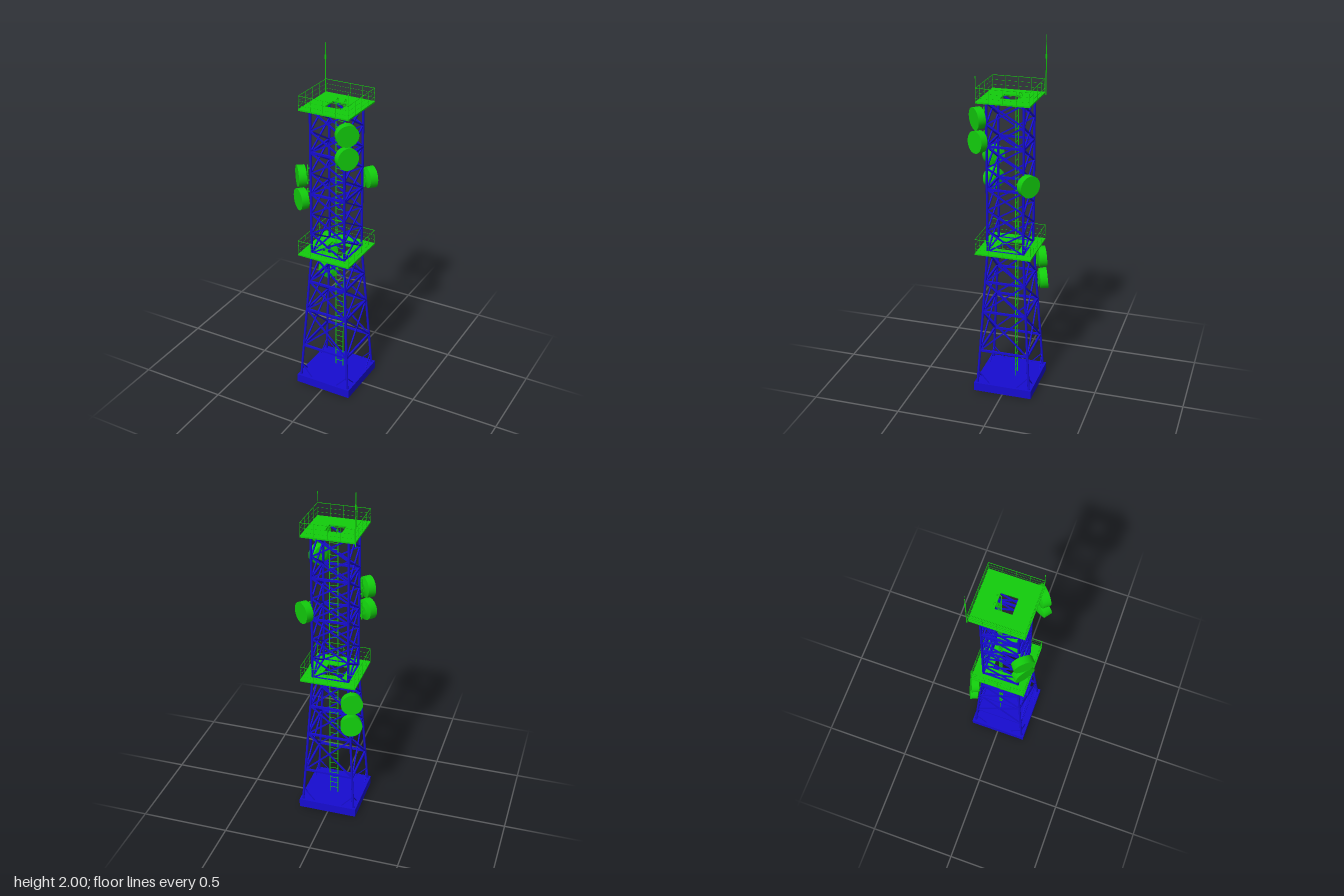
import * as THREE from 'three';
import { mergeGeometries } from 'three/addons/utils/BufferGeometryUtils.js';

const blue = new THREE.MeshStandardMaterial({ color: 0x160cd0 });
const green = new THREE.MeshStandardMaterial({ color: 0x12cc0c });
const V = (x, y, z) => new THREE.Vector3(x, y, z);

// Square beam between two points
function beam(a, b, w) {
  const o = new THREE.Object3D();
  o.position.copy(a).add(b).multiplyScalar(0.5);
  o.lookAt(b);
  o.updateMatrix();
  return new THREE.BoxGeometry(w, w, a.distanceTo(b)).applyMatrix4(o.matrix);
}

// Round bar between two points
function rod(a, b, r, sides = 8) {
  const m = new THREE.Matrix4().compose(
    a.clone().add(b).multiplyScalar(0.5),
    new THREE.Quaternion().setFromUnitVectors(V(0, 1, 0), b.clone().sub(a).normalize()),
    V(1, 1, 1));
  return new THREE.CylinderGeometry(r, r, a.distanceTo(b), sides).applyMatrix4(m);
}

function part(parent, name, geometries, material) {
  const mesh = new THREE.Mesh(mergeGeometries(geometries), material);
  mesh.name = name;
  parent.add(mesh);
  return mesh;
}

// Half width of the tower at height y: tapered below, straight above
const BASE = 0.05, WAIST = 0.85, TOP = 1.69;
const halfWidth = y => y >= WAIST ? 0.101 : 0.151 - 0.05 * (y - BASE) / (WAIST - BASE);

// Run a function once per side; p(u, y) gives the point at u (-1..1) along that side
function eachSide(fn) {
  for (let i = 0; i < 4; i++) {
    const turn = i * Math.PI / 2;
    const at = (x, y, z) => V(x, y, z).applyAxisAngle(V(0, 1, 0), turn);
    fn((u, y) => at(u * halfWidth(y), y, halfWidth(y)), at);
  }
}

// Deck with a square hatch and a wire railing around the edge
function platform(name, y, half, hatch, railHeight) {
  const g = new THREE.Group();
  g.name = name;
  const square = (s, T) => new T().moveTo(-s, -s).lineTo(s, -s).lineTo(s, s).lineTo(-s, s).closePath();
  const shape = square(half, THREE.Shape);
  shape.holes.push(square(hatch, THREE.Path));
  part(g, 'deck', [new THREE.ExtrudeGeometry(shape, { depth: 0.008, bevelEnabled: false })
    .rotateX(-Math.PI / 2).translate(0, y, 0)], green);
  const rails = [];
  const e = half - 0.002;
  eachSide((p, at) => {
    for (const [f, r] of [[1, 0.0016], [0.67, 0.0007], [0.35, 0.0007]])
      rails.push(rod(at(-e, y + railHeight * f, e), at(e, y + railHeight * f, e), r, 6));
    for (let i = 0; i < 4; i++) {
      const x = -e + i * e / 2;
      rails.push(rod(at(x, y, e), at(x, y + railHeight, e), 0.0012, 6));
    }
  });
  part(g, 'railing', rails, green);
  return g;
}

// Drum dish facing (nx, nz) with a pipe mount back to the nearest tower leg
function dish(x, y, z, nx, nz, pitch) {
  const g = new THREE.Group();
  g.name = 'dish';
  const profile = [[0, -0.03], [0.025, -0.03], [0.058, -0.02], [0.06, 0.022], [0, 0.022]];
  // Each profile segment is its own band so that the edges stay sharp
  const bands = profile.slice(1).map((p, i) => new THREE.LatheGeometry(
    [new THREE.Vector2(...profile[i]), new THREE.Vector2(...p)], 32));
  const drum = part(g, 'drum', bands, green);
  drum.position.set(x, y, z);
  drum.rotation.order = 'YXZ';
  drum.rotation.set(Math.PI / 2 - pitch, Math.atan2(nx, nz), 0);

  const h = halfWidth(y), sx = Math.sign(x), sz = Math.sign(z);
  const leg = V(sx * h, y, sz * h);
  const pole = V(sx * (h + 0.01), y, sz * (h + 0.01));
  const back = V(x - nx * 0.025, y, z - nz * 0.025);
  const up = V(0, 0.055, 0), clamp = V(0, 0.035, 0);
  part(g, 'mount', [
    rod(pole.clone().sub(up), pole.clone().add(up), 0.004),
    rod(pole, back, 0.007),
    beam(leg.clone().add(clamp), pole.clone().add(clamp), 0.006),
    beam(leg.clone().sub(clamp), pole.clone().sub(clamp), 0.006)], green);
  return g;
}

export function createModel() {
  const root = new THREE.Group();
  root.name = 'latticeTower';
  const tower = new THREE.Group();
  tower.name = 'tower';
  tower.position.x = 0.003;
  root.add(tower);

  // Foundation
  part(tower, 'foundation', [new THREE.BoxGeometry(0.336, BASE, 0.336).translate(0, BASE / 2, 0)], blue);

  // Legs, horizontal ties, cross braces and foot braces
  const legs = [], ties = [], braces = [], feet = [];
  const panels = [0.25, 0.49, 0.67, 0.85];
  for (let i = 1; i <= 7; i++) panels.push(WAIST + i * 0.12);
  eachSide(p => {
    legs.push(rod(p(1, BASE - 0.005), p(1, WAIST), 0.007), rod(p(1, WAIST), p(1, TOP), 0.007));
    for (const y of [0.25, 0.49, 0.67, 0.85, 1.21, 1.45, TOP - 0.004])
      ties.push(beam(p(-1, y), p(1, y), 0.011));
    for (let i = 0; i < panels.length - 1; i++)
      for (const s of [-1, 1])
        braces.push(beam(p(-s, panels[i]), p(s, panels[i + 1]), 0.0075));
    for (const s of [-1, 1])
      feet.push(beam(p(s, 0.12), p(s * 0.53, BASE - 0.002), 0.005));
  });
  part(tower, 'legs', legs, blue);
  part(tower, 'horizontalTies', ties, blue);
  part(tower, 'crossBraces', braces, blue);
  part(tower, 'footBraces', feet, blue);

  // Platforms
  tower.add(platform('middlePlatform', 0.846, 0.156, 0.06, 0.089));
  tower.add(platform('topPlatform', TOP, 0.146, 0.0455, 0.079));

  // Ladder with hooked hand rails at the top
  const ladder = [];
  const lx = 0.0235, lz = -0.035;
  for (const s of [-1, 1]) {
    ladder.push(rod(V(s * lx, BASE, lz), V(s * lx, 1.705, lz), 0.0025));
    const hook = new THREE.CatmullRomCurve3([V(s * lx, 1.70, lz), V(s * lx, 1.713, lz - 0.004),
      V(s * lx, 1.718, lz - 0.012), V(s * lx, 1.713, lz - 0.02), V(s * lx, TOP, lz - 0.024)]);
    ladder.push(new THREE.TubeGeometry(hook, 12, 0.0025, 8));
  }
  for (let y = 0.08; y < 1.7; y += 0.0345)
    ladder.push(rod(V(-lx, y, lz), V(lx, y, lz), 0.0016, 6));
  part(tower, 'ladder', ladder, green);

  // Whip antenna and short light rod on opposite corners
  const stick = (x, z, y0, y1, r) => rod(V(x, y0, z), V(x, y1, z), r);
  part(tower, 'whipAntenna', [
    stick(-0.149, -0.149, 1.68, 1.88, 0.0028), stick(-0.149, -0.149, 1.875, 1.90, 0.0045),
    stick(-0.149, -0.149, 1.90, 1.963, 0.002), stick(-0.149, -0.149, 1.963, 2.0, 0.0006)], green);
  part(tower, 'lightRod', [
    stick(0.144, 0.144, TOP, 1.82, 0.0012), stick(0.144, 0.144, 1.82, 1.833, 0.0025)], green);

  // Dishes: position, horizontal facing, upward pitch
  const dishes = [
    [0.135, 1.61, 0.138, 0.69, 0.72, -0.05],
    [0.135, 1.482, 0.138, 0.82, 0.57, 0.06],
    [-0.134, 1.325, 0.138, -0.76, 0.65, 0],
    [-0.133, 1.19, 0.138, -0.6, 0.8, 0],
    [0.133, 1.265, -0.134, 0.63, -0.77, 0],
    [-0.131, 0.75, -0.142, -0.40, -0.92, 0.06],
    [-0.132, 0.617, -0.152, -0.35, -0.94, 0.09],
  ];
  for (const d of dishes) root.add(dish(...d));
  return root;
}
